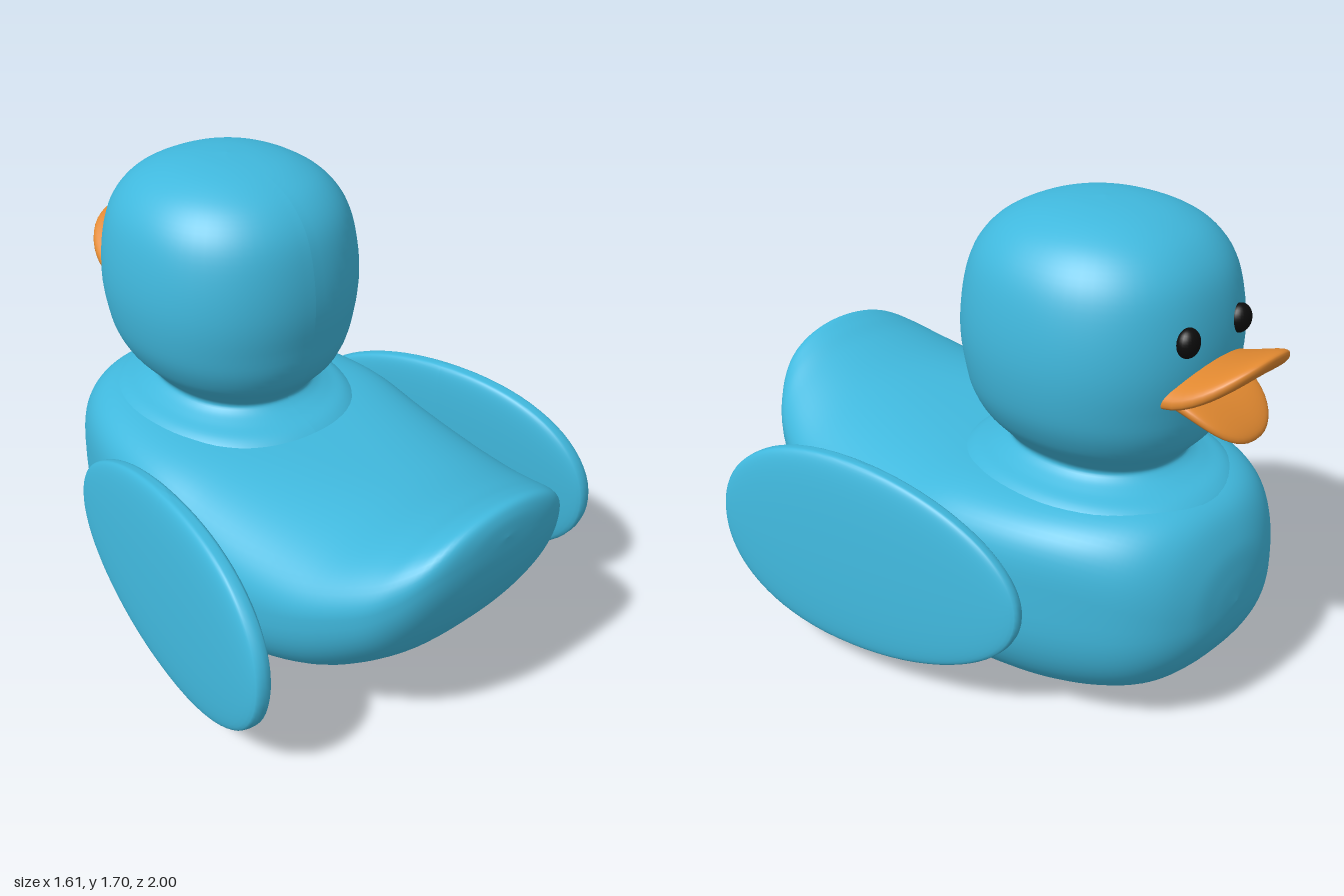
import * as THREE from 'three';

const paint = (name, color) => {
  const m = new THREE.MeshStandardMaterial({ color });
  m.name = name;
  return m;
};

// Moves every vertex of a geometry by a rule
function shaped(geo, rule) {
  const pos = geo.attributes.position;
  const v = new THREE.Vector3();
  for (let i = 0; i < pos.count; i++) {
    v.fromBufferAttribute(pos, i);
    rule(v);
    pos.setXYZ(i, v.x, v.y, v.z);
  }
  geo.computeVertexNormals();
  return geo;
}

const power = (c, e) => Math.sign(c) * Math.pow(Math.abs(c), e);

// Body cross-sections from tail to breast:
// z, half width, height of widest point, bottom, top, squareness of upper half
const SECTIONS = [
  [1.0, 0, 0.83, 0.83, 0.83, 2],
  [0.992, 0.17, 0.81, 0.73, 0.895, 2],
  [0.965, 0.29, 0.78, 0.62, 0.928, 2],
  [0.9, 0.385, 0.7, 0.475, 0.91, 2],
  [0.8, 0.46, 0.63, 0.34, 0.87, 2],
  [0.6, 0.54, 0.55, 0.19, 0.815, 2.1],
  [0.35, 0.585, 0.49, 0.085, 0.793, 2.5],
  [0.1, 0.6, 0.46, 0.025, 0.792, 3.2],
  [-0.15, 0.592, 0.46, 0.003, 0.805, 4.3],
  [-0.4, 0.555, 0.46, 0.016, 0.812, 4.5],
  [-0.6, 0.495, 0.46, 0.055, 0.815, 4.2],
  [-0.76, 0.415, 0.46, 0.12, 0.805, 3.4],
  [-0.86, 0.325, 0.46, 0.21, 0.76, 2.7],
  [-0.92, 0.215, 0.46, 0.305, 0.66, 2.3],
  [-0.942, 0.11, 0.46, 0.38, 0.56, 2.1],
  [-0.95, 0, 0.46, 0.46, 0.46, 2],
];

function bodyGeometry(rings = 90, sides = 72) {
  const curve = (f) => new THREE.CatmullRomCurve3(SECTIONS.map(f), false, 'catmullrom', 0.5);
  const outline = curve((s) => new THREE.Vector3(s[1], s[2], s[0]));
  const heights = curve((s) => new THREE.Vector3(s[3], s[4], s[5]));
  const verts = [], index = [];
  for (let i = 0; i <= rings; i++) {
    const o = outline.getPoint(i / rings), h = heights.getPoint(i / rings);
    for (let j = 0; j < sides; j++) {
      const a = (j / sides) * Math.PI * 2, c = Math.cos(a), s = Math.sin(a);
      const e = 2 / (s > 0 ? h.z : 2.45);
      const tall = s > 0 ? h.y - o.y : o.y - h.x;
      verts.push(o.x * power(c, e), o.y + tall * power(s, e), o.z);
      if (i === rings) continue;
      const p = i * sides + j, q = i * sides + ((j + 1) % sides);
      index.push(p, p + sides, q, q, p + sides, q + sides);
    }
  }
  const geo = new THREE.BufferGeometry();
  geo.setAttribute('position', new THREE.Float32BufferAttribute(verts, 3));
  geo.setIndex(index);
  geo.computeVertexNormals();
  return geo;
}

// Head and flared neck in one turned profile, a little square in plan and longer at the neck
function headGeometry() {
  const profile = new THREE.SplineCurve([
    [0.43, 0.7], [0.42, 0.765], [0.38, 0.805], [0.325, 0.828], [0.285, 0.85], [0.27, 0.875],
    [0.3, 0.915], [0.36, 0.985], [0.41, 1.09], [0.434, 1.24], [0.426, 1.39], [0.392, 1.52],
    [0.325, 1.61], [0.23, 1.665], [0.12, 1.692], [0, 1.7],
  ].map(([r, y]) => new THREE.Vector2(r, y)));
  const pts = profile.getPoints(75);
  pts.forEach((p) => { p.x = Math.max(p.x, 0); });
  return shaped(new THREE.LatheGeometry(pts, 64), (v) => {
    const r = Math.hypot(v.x, v.z);
    if (r > 0) {
      const n = 2.2;
      const k = 1 / Math.pow(Math.abs(v.x / r) ** n + Math.abs(v.z / r) ** n, 1 / n);
      v.x *= k;
      v.z *= k;
    }
    v.z *= 1.055 + 0.11 * (1 - THREE.MathUtils.smoothstep(v.y, 0.87, 1.15));
  });
}

// Egg-shaped slab with rounded edges, blunter and thicker toward the tail
const wingGeometry = () => shaped(new THREE.SphereGeometry(1, 64, 40), (v) => {
  v.x = (0.052 + 0.008 * v.z) * power(v.x, 0.5);
  v.y = 0.356 * power(v.y, 0.96) * (1 + 0.12 * v.z);
  v.z = 0.64 * power(v.z, 0.96);
});

// Rounded bill half: rise lifts the tip, arch drops the sides
const billGeometry = (rx, rz, thick, rise, arch) => shaped(new THREE.SphereGeometry(1, 48, 32), (v) => {
  const d = Math.max(0, -v.z), x = power(v.x, 0.85);
  v.x = rx * x;
  v.y = thick * power(v.y, 0.8) + rise * Math.pow(d, 1.35) - arch * x * x;
  v.z = rz * power(v.z, 0.9);
});

export function createModel() {
  const blue = paint('blue', 0x40b8dd);
  const orange = paint('orange', 0xe08830);
  const black = paint('black', 0x0c0c0c);
  const model = new THREE.Group();
  model.name = 'duck';

  const add = (name, geo, mat, x, y, z) => {
    const mesh = new THREE.Mesh(geo, mat);
    mesh.name = name;
    mesh.position.set(x, y, z);
    model.add(mesh);
    return mesh;
  };

  add('body', bodyGeometry(), blue, 0, 0, 0);
  add('head', headGeometry(), blue, 0, 0, -0.35);

  // Bill, open
  add('upperBill', billGeometry(0.23, 0.245, 0.052, 0.105, 0.04), orange, -0.02, 1.22, -0.755);
  add('lowerBill', billGeometry(0.185, 0.205, 0.04, -0.1, -0.02), orange, -0.02, 1.15, -0.75);

  // Wings and eyes, mirrored
  const wing = wingGeometry();
  const eye = new THREE.SphereGeometry(1, 24, 16);
  for (const [side, s] of [['left', 1], ['right', -1]]) {
    const w = add(side + 'Wing', wing, blue, s * 0.672, 0.475, 0.115);
    w.rotation.set(0, s * 0.155, s * 0.06);
    add(side + 'Eye', eye, black, s * 0.135 - 0.003, 1.367, -0.787).scale.set(0.044, 0.048, 0.036);
  }
  return model;
}
